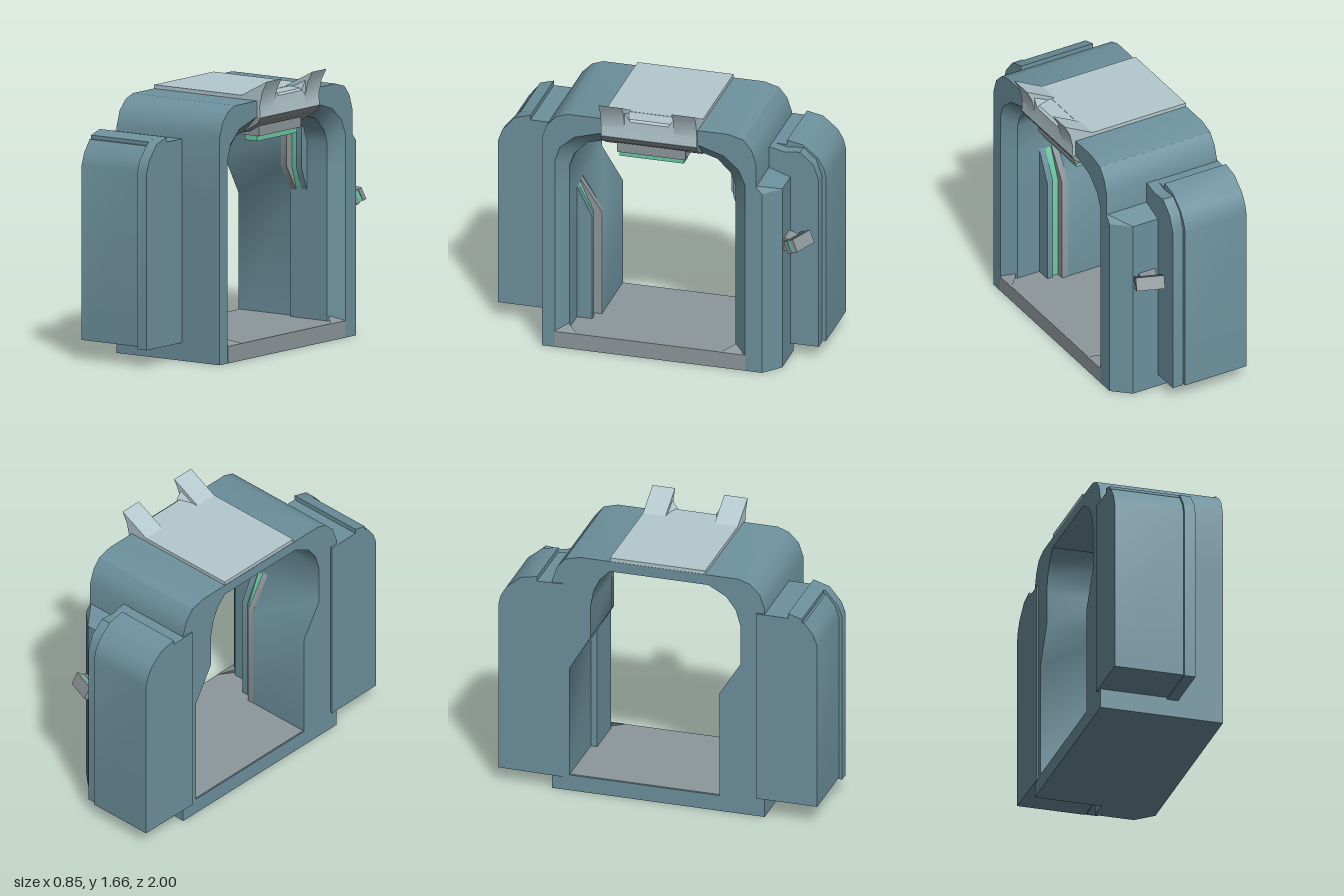
import * as THREE from 'three';
import { toCreasedNormals } from 'three/addons/utils/BufferGeometryUtils.js';
import { ConvexGeometry } from 'three/addons/geometries/ConvexGeometry.js';

const mat = (color) => new THREE.MeshStandardMaterial({ color });
const wall = mat(0x6d919d), pale = mat(0xb4c8ce), steel = mat(0x8d979b), green = mat(0x6cc9a5);

export function createModel() {
  const root = new THREE.Group();
  const add = (name, geometry, material, parent = root) => {
    const m = new THREE.Mesh(geometry, material);
    m.name = name;
    parent.add(m);
    return m;
  };
  const shapeOf = (pts) => new THREE.Shape(pts.map((p) => new THREE.Vector2(...p)));
  // side profile (z, y) extruded from x0 to x1
  const sideExtrude = (pts, x0, x1) => {
    const g = new THREE.ExtrudeGeometry(shapeOf(pts), { depth: x1 - x0, bevelEnabled: false });
    g.rotateY(-Math.PI / 2).translate(x1, 0, 0);
    return toCreasedNormals(g, 0.6);
  };
  // front profile (x, y) extruded from z0 to z1
  const frontExtrude = (pts, z0, z1) => {
    const g = new THREE.ExtrudeGeometry(shapeOf(pts), { depth: z1 - z0, bevelEnabled: false });
    return toCreasedNormals(g.translate(0, 0, z0), 0.6);
  };
  const box = (x0, x1, y0, y1, z0, z1) =>
    new THREE.BoxGeometry(x1 - x0, y1 - y0, z1 - z0).translate((x0 + x1) / 2, (y0 + y1) / 2, (z0 + z1) / 2);
  const hull = (pts) => new ConvexGeometry(pts.map((p) => new THREE.Vector3(...p)));

  // Gateway: a closed skin through loops of (z, y), outside then flared inside
  const outer = [[.65, 0], [.65, .77], [.65, .98], [.65, 1.36], [.62, 1.45], [.56, 1.51], [.49, 1.535],
    [-.5, 1.535], [-.59, 1.51], [-.64, 1.45], [-.67, 1.36], [-.67, 1.02], [-.67, .86], [-.67, 0]];
  const mouth = [[.57, .1], [.57, .77], [.57, .98], [.57, 1.22], [.54, 1.31], [.45, 1.39], [.28, 1.44],
    [-.31, 1.44], [-.47, 1.39], [-.56, 1.31], [-.6, 1.22], [-.6, 1.02], [-.6, .86], [-.6, .1]];
  const throat = [[.5, .1], [.5, .77], [.5, .98], [.5, 1.17], [.47, 1.25], [.39, 1.33], [.28, 1.36],
    [-.31, 1.36], [-.41, 1.33], [-.49, 1.25], [-.52, 1.17], [-.52, 1.02], [-.52, .86], [-.52, .1]];
  const rear = [[.37, .1], [.37, .77], [.5, .98], [.5, 1.23], [.47, 1.33], [.41, 1.41], [.3, 1.47],
    [-.31, 1.47], [-.37, 1.41], [-.41, 1.33], [-.43, 1.23], [-.43, 1.02], [-.56, .8], [-.56, .1]];
  const rings = [[-.412, outer], [.345, outer], [.345, mouth], [.27, throat], [0, throat], [0, rear], [-.412, rear]];
  const pos = [], index = [], n = outer.length;
  for (const [x, loop] of rings) for (const [z, y] of loop) pos.push(x, y, z);
  for (let i = 0; i < rings.length; i++) {
    const r0 = i * n, r1 = ((i + 1) % rings.length) * n;
    for (let j = 0; j < n; j++) {
      const k = (j + 1) % n;
      index.push(r0 + j, r1 + j, r1 + k, r0 + j, r1 + k, r0 + k);
    }
  }
  const skin = new THREE.BufferGeometry();
  skin.setAttribute('position', new THREE.Float32BufferAttribute(pos, 3));
  skin.setIndex(index);
  add('gateway', toCreasedNormals(skin, 0.6), wall);

  // Floor plate with corner gussets
  add('floor', box(-.405, .347, .004, .103, -.6, .57), steel);
  for (const [z, s] of [[.5, 1], [-.52, -1]]) {
    add('floorGusset', hull([[.349, .103, z + s * .07], [.349, .103, z - s * .07], [.349, .03, z], [.26, .14, z + s * .02]]), steel);
  }

  // Housings on the outer walls, each a main body and a slim rim
  add('frontHousing', sideExtrude([[.6, .12], [.98, .12], [.98, 1.17], [.955, 1.24], [.9, 1.312], [.885, 1.312],
    [.885, 1.335], [.8, 1.36], [.8, 1.33], [.6, 1.33]], -.425, 0), wall);
  add('frontHousingRim', sideExtrude([[.6, .108], [1, .108], [1, 1.17], [.975, 1.24], [.9, 1.33],
    [.8, 1.36], [.8, 1.33], [.6, 1.33]], 0, .068), wall);
  add('backHousing', sideExtrude([[-.6, .085], [-.6, 1.35], [-.76, 1.345], [-.76, 1.375], [-.86, 1.355],
    [-.95, 1.28], [-.985, 1.22], [-1, 1.16], [-1, .09]], -.42, 0), wall);
  add('backHousingRim', sideExtrude([[-.6, .08], [-.6, 1.35], [-.68, 1.35], [-.76, 1.33], [-.86, 1.34],
    [-.94, 1.27], [-.975, 1.17], [-.975, .08]], 0, .07), wall);

  // Chamfered buttress on the back wall
  const plan = [[0, -.66], [.345, -.66], [.345, -.705], [.24, -.8], [0, -.8]];
  add('backButtress', hull([...plan.map(([x, z]) => [x, 0, z]), ...plan.map(([x, z]) => [x, 1.17, z]),
    [0, 1.22, -.66], [.345, 1.22, -.66]]), wall);

  // Guide rails on the inner walls, each with a lit strip between two fins
  const rail = (name, profile) => {
    const g = new THREE.Group();
    g.name = name;
    root.add(g);
    const edge = Math.sign(profile[0][0]);
    const inset = (d) => profile.map(([z, y], i) => [i === 1 || i === 2 ? z + edge * d : z, y]);
    add('rearFin', sideExtrude(inset(-.002), 0, .04), steel, g);
    add('lightStrip', sideExtrude(inset(.05), .04, .08), green, g);
    add('frontFin', sideExtrude(inset(.035), .08, .12), wall, g);
  };
  rail('frontWallRail', [[.52, .1], [.37, .1], [.37, .77], [.52, 1.0]]);
  rail('backWallRail', [[-.53, 1.3], [-.43, 1.3], [-.43, 1.02], [-.53, .85]]);

  // Roof plate: thin cover, nose and two raised horns
  add('roofPlate', box(-.41, .25, 1.5, 1.558, -.31, .28), pale);
  add('roofNose', frontExtrude([[.2, 1.5], [.24, 1.34], [.345, 1.4], [.37, 1.43], [.365, 1.5], [.365, 1.545],
    [.35, 1.556], [.2, 1.556]], -.31, .28), pale);
  add('noseUnderside', frontExtrude([[.2, 1.35], [.24, 1.334], [.349, 1.398], [.374, 1.435], [.34, 1.435]], -.312, .282), steel);
  const horn = [[.22, 1.5], [.34, 1.42], [.37, 1.43], [.365, 1.5], [.385, 1.59], [.42, 1.657], [.23, 1.558]];
  for (const [z0, z1, inner, s] of [[-.31, -.17, -.17, 1], [.135, .28, .135, -1]]) {
    add('roofHorn', frontExtrude(horn, z0, z1), pale);
    add('hornGusset', hull([[.26, 1.55, inner], [.368, 1.6, inner], [.368, 1.52, inner], [.368, 1.55, inner + s * .035]]), pale);
  }

  // Lamp under the ceiling
  add('ceilingLampMount', box(.17, .3, 1.308, 1.37, -.22, .2), steel);
  add('ceilingLamp', box(.19, .28, 1.275, 1.31, -.205, .19), green);

  // Tilted lamp on the back buttress
  const lamp = new THREE.Group();
  lamp.name = 'backLamp';
  lamp.position.set(.177, .805, -.885);
  lamp.rotation.set(.45, -.36, 0, 'YXZ');
  root.add(lamp);
  for (const s of [-1, 1]) add('lampShell', box(-.085, .085, -.04, .04, s * .025 - .012, s * .025 + .012), steel, lamp);
  add('lampGlass', box(-.08, .08, -.037, .037, -.013, .013), green, lamp);
  add('lampNeck', hull([[.08, .74, -.79], [.2, .74, -.79], [.08, .83, -.79], [.2, .83, -.79],
    [.12, .77, -.87], [.21, .77, -.85], [.12, .83, -.87], [.21, .83, -.85]]), steel);

  return root;
}
